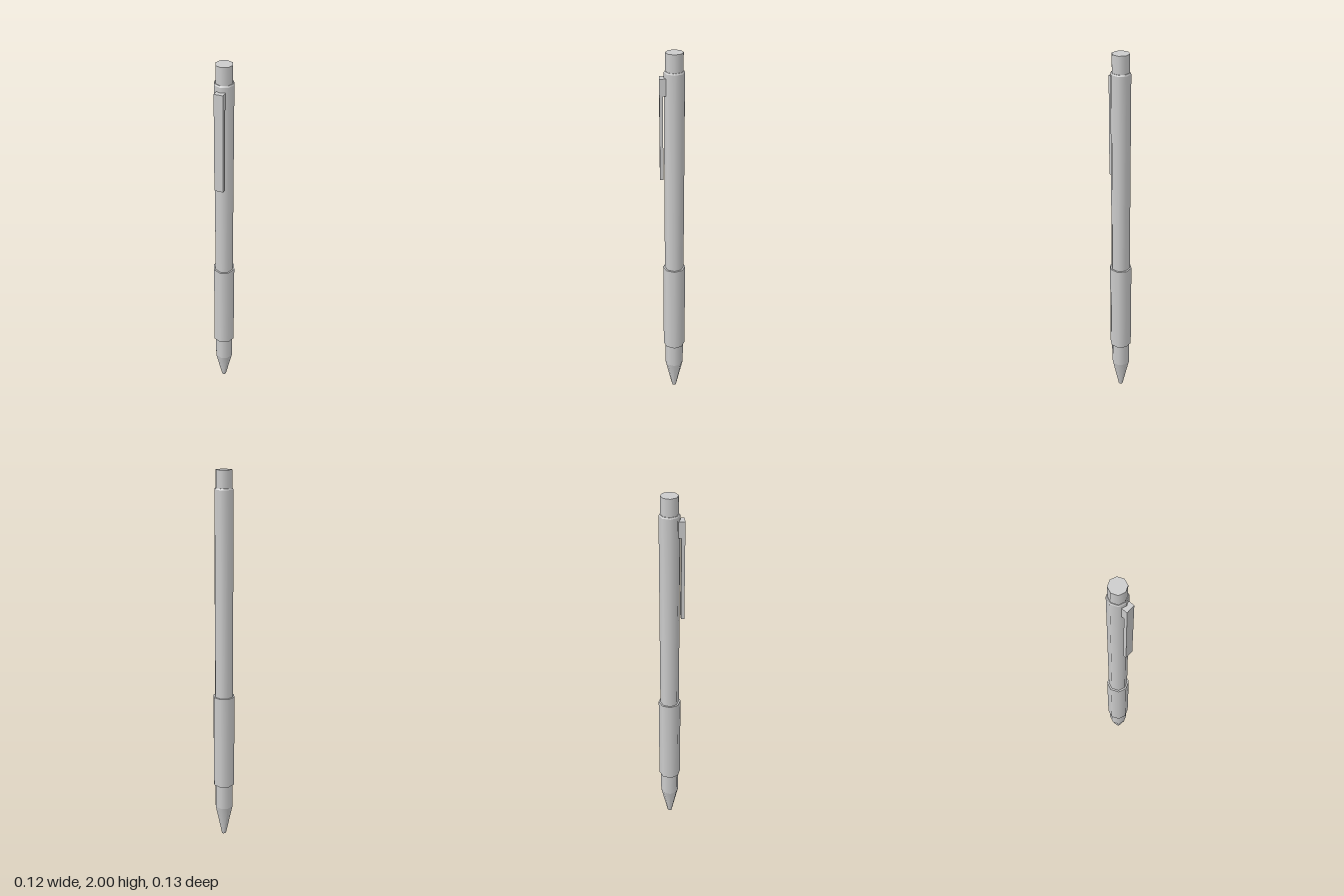
import * as THREE from 'three';

const material = new THREE.MeshStandardMaterial({ color: 0xcccccc });
const AXIS_Z = -0.008; // the barrel sits slightly back so the clip balances the depth

function addMesh(group, name, geometry, x, y, z) {
  const mesh = new THREE.Mesh(geometry, material);
  mesh.name = name;
  mesh.position.set(x, y, z);
  group.add(mesh);
}

// Eight-sided, smoothly shaded section of the pen between two heights
function addSection(group, name, y0, y1, r0, r1 = r0) {
  addMesh(group, name, new THREE.CylinderGeometry(r1, r0, y1 - y0, 8), 0, (y0 + y1) / 2, AXIS_Z);
}

// Box given by its lower and upper limits in y and z
function addBox(group, name, width, y0, y1, z0, z1) {
  addMesh(group, name, new THREE.BoxGeometry(width, y1 - y0, z1 - z0), 0, (y0 + y1) / 2, (z0 + z1) / 2);
}

export function createModel() {
  const pen = new THREE.Group();
  pen.name = 'pen';

  // Barrel, from the writing end up
  addSection(pen, 'tip', 0, 0.175, 0.012, 0.05);
  addSection(pen, 'barrel', 0.175, 1.905, 0.05);
  addSection(pen, 'grip', 0.312, 0.828, 0.059);
  addSection(pen, 'barrelRim', 1.905, 1.912, 0.05, 0.046);
  addSection(pen, 'pushButton', 1.9, 2, 0.043);

  // Pocket clip: a flat bar held off the barrel by a block at its top
  const clip = new THREE.Group();
  clip.name = 'clip';
  addBox(clip, 'clipBar', 0.046, 1.36, 1.88, 0.047, 0.064);
  addBox(clip, 'clipMount', 0.046, 1.797, 1.88, 0.032, 0.047);
  pen.add(clip);

  return pen;
}
